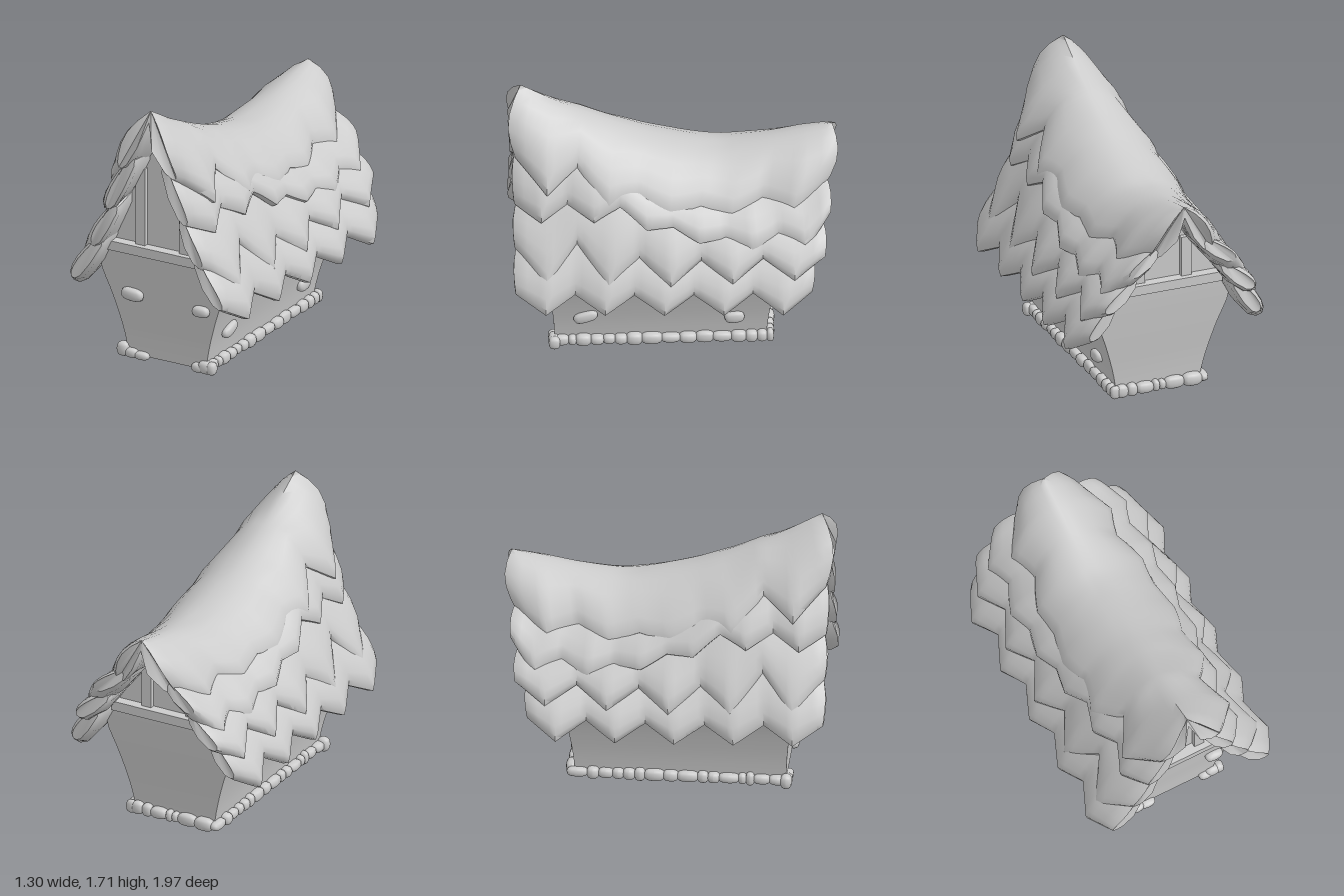
import * as THREE from 'three';
import { mergeGeometries, toCreasedNormals } from 'three/addons/utils/BufferGeometryUtils.js';

const material = new THREE.MeshStandardMaterial({ color: 0xcccccc });

let seed = 7;
const rand = () => (seed = (seed * 16807) % 2147483647) / 2147483647;

function add(parent, name, geometry, x = 0, y = 0, z = 0) {
  const mesh = new THREE.Mesh(geometry, material);
  mesh.name = name;
  mesh.position.set(x, y, z);
  parent.add(mesh);
  return mesh;
}

// Smooth value of column c at t, in rows sorted by descending first column
function sample(rows, t, c) {
  let i = 0;
  while (i < rows.length - 2 && t < rows[i + 1][0]) i++;
  const a = rows[i], b = rows[i + 1];
  const p = rows[Math.max(i - 1, 0)], q = rows[Math.min(i + 2, rows.length - 1)];
  const d = b[0] - a[0];
  const f = THREE.MathUtils.clamp((t - a[0]) / d, 0, 1), f2 = f * f, f3 = f2 * f;
  const m0 = (b[c] - p[c]) / (b[0] - p[0]) * d;
  const m1 = (q[c] - a[c]) / (q[0] - a[0]) * d;
  return (2 * f3 - 3 * f2 + 1) * a[c] + (f3 - 2 * f2 + f) * m0 + (3 * f2 - 2 * f3) * b[c] + (f3 - f2) * m1;
}

// Roof courses. top rows: [z, x, y]; low rows: [z, notch x, notch y, tip x, tip y]
const ridgeCourse = {
  name: 'ridgeCourse', teeth: 5, bow: 0.06, crown: 0.035,
  top: [[0.9, 0, 1.72], [0.63, 0, 1.57], [0.2, 0, 1.38], [-0.1, 0, 1.29], [-0.35, 0, 1.26], [-0.96, 0, 1.39]],
  low: [[0.94, 0.22, 1.34, 0.36, 1.2], [0.57, 0.27, 1.3, 0.39, 1.13], [0.2, 0.35, 1.13, 0.4, 1.07],
    [-0.18, 0.35, 1.06, 0.38, 1], [-0.9, 0.22, 1.07, 0.34, 0.98]],
};
const upperCourse = {
  name: 'upperCourse', teeth: 6, bow: 0.02, crown: 0,
  top: [[0.93, 0.13, 1.41], [0.5, 0.15, 1.38], [-0.1, 0.17, 1.15], [-0.9, 0.13, 1.16]],
  low: [[0.95, 0.3, 1.06, 0.39, 0.98], [0.3, 0.39, 1.08, 0.44, 0.99], [0, 0.43, 0.96, 0.47, 0.9],
    [-0.5, 0.44, 0.87, 0.49, 0.82], [-0.94, 0.36, 1, 0.47, 0.82]],
};
const middleCourse = {
  name: 'middleCourse', teeth: 5, bow: 0.02, crown: 0,
  top: [[0.93, 0.25, 1.08], [0.5, 0.28, 1.14], [0, 0.32, 1.01], [-0.88, 0.3, 0.94]],
  low: [[0.95, 0.4, 0.81, 0.56, 0.6], [0.58, 0.43, 0.85, 0.56, 0.58], [0.2, 0.47, 0.75, 0.58, 0.61], [-0.9, 0.5, 0.77, 0.58, 0.66]],
};
const eavesCourse = {
  name: 'eavesCourse', teeth: 5, bow: 0.02, crown: 0,
  top: [[0.93, 0.35, 0.85], [0.55, 0.37, 0.9], [0, 0.42, 0.78], [-0.82, 0.41, 0.79]],
  low: [[0.95, 0.54, 0.57, 0.62, 0.47], [0.1, 0.56, 0.55, 0.63, 0.45], [-0.82, 0.57, 0.56, 0.66, 0.45]],
};

// Thick shingle profile: [distance down the slope, offset outward]
const profile = [[0, 0], [0.08, 0.008], [0.2, 0.017], [0.4, 0.028], [0.6, 0.034], [0.8, 0.028], [0.93, 0.012], [1, -0.02],
  [0.97, -0.055], [0.85, -0.085], [0.5, -0.095], [0.1, -0.075], [0, -0.045]];

function slopeGeometry({ teeth, bow, crown, top, low }, side) {
  const n = profile.length, step = 5, rings = teeth * 2 * step + 1;
  const { lerp } = THREE.MathUtils;
  const pos = [], index = [];
  const tri = (a, b, c) => (side > 0 ? index.push(a, b, c) : index.push(a, c, b));
  for (let r = 0; r < rings; r++) {
    const u = r / (rings - 1);
    const tip = 1 - Math.abs((r / step) % 2 - 1);
    const z = lerp(low[0][0], low.at(-1)[0], u), tz = lerp(top[0][0], top.at(-1)[0], u);
    const bx = lerp(sample(low, z, 1), sample(low, z, 3), tip);
    const by = lerp(sample(low, z, 2), sample(low, z, 4), tip);
    const ax = sample(top, tz, 1), ay = sample(top, tz, 2);
    const len = Math.hypot(bx - ax, by - ay);
    const nx = (ay - by) / len, ny = (bx - ax) / len;
    const puff = (0.85 + 0.2 * tip) * (r === 0 || r === rings - 1 ? 0.7 : 1);
    for (const [v, o] of profile) {
      const swell = o < 0 ? 0 : crown * 6.75 * v * (1 - v) ** 2;
      const off = (o + 0.03) * puff - 0.03 * (o === 0 ? puff : 1) + swell;
      const bend = bow * Math.sin(Math.PI * v) * Math.pow(1 - 2 * u, 7);
      const x = Math.max(0, lerp(ax, bx, v) + nx * off);
      pos.push(side * x, lerp(ay, by, v) + ny * off, lerp(tz, z, v) + bend);
    }
  }
  for (let r = 0; r < rings - 1; r++) {
    for (let k = 0; k < n; k++) {
      const a = r * n + k, b = r * n + (k + 1) % n;
      tri(a, b, a + n);
      tri(b, b + n, a + n);
    }
  }
  const last = (rings - 1) * n;
  for (let k = 1; k < n - 1; k++) {
    tri(0, k + 1, k);
    tri(last, last + k, last + k + 1);
  }
  const g = new THREE.BufferGeometry();
  g.setAttribute('position', new THREE.Float32BufferAttribute(pos, 3));
  g.setIndex(index);
  return g;
}

// Flared walls: [height, half width, front z, back z]
const wall = [[0.74, 0.38, 0.765, -0.63], [0.62, 0.435, 0.755, -0.62], [0.4, 0.36, 0.735, -0.595],
  [0.2, 0.3, 0.715, -0.57], [0.03, 0.265, 0.705, -0.555]];

function wallGeometry() {
  const g = new THREE.BoxGeometry(2, 0.71, 2, 1, 12, 1);
  const p = g.attributes.position;
  for (let i = 0; i < p.count; i++) {
    const y = p.getY(i) + 0.385;
    p.setXYZ(i, p.getX(i) * sample(wall, y, 1), y, sample(wall, y, p.getZ(i) > 0 ? 2 : 3));
  }
  return toCreasedNormals(g, 0.5);
}

// Rounded pebble, made boxier than a sphere
function stone(parent, name, size, at) {
  const g = new THREE.SphereGeometry(1, 12, 8);
  const p = g.attributes.position;
  const box = (v) => Math.sign(v) * Math.pow(Math.abs(v), 0.75);
  for (let i = 0; i < p.count; i++) p.setXYZ(i, box(p.getX(i)), box(p.getY(i)), box(p.getZ(i)));
  g.scale(size[0] / 2, size[1] / 2, size[2] / 2);
  g.computeVertexNormals();
  return add(parent, name, g, ...at);
}

// Recessed gable panel with two posts and a cross beam
function gable(parent, name, z, out, outline, postTop) {
  const group = new THREE.Group();
  group.name = name;
  const half = outline.map(([x, y]) => new THREE.Vector2(x, y));
  const mirrored = outline.slice(0, -1).reverse().map(([x, y]) => new THREE.Vector2(-x, y));
  const g = new THREE.ExtrudeGeometry(new THREE.Shape([...half, ...mirrored]), { depth: 0.04, bevelEnabled: false });
  add(group, 'gablePanel', g, 0, 0, z - 0.02);
  for (const s of [-1, 1]) {
    add(group, 'gablePost', new THREE.BoxGeometry(0.065, postTop - 0.74, 0.04), s * 0.15, (postTop + 0.74) / 2, z + out * 0.03);
  }
  add(group, 'gableBeam', new THREE.BoxGeometry(0.74, 0.06, 0.1), 0, 0.745, z + out * 0.035);
  parent.add(group);
}

export function createModel() {
  const house = new THREE.Group();
  house.name = 'house';
  add(house, 'walls', wallGeometry());

  gable(house, 'frontGable', 0.72, 1, [[0.37, 0.72], [0.34, 0.8], [0.13, 1.33], [0, 1.56]], 1.27);
  gable(house, 'backGable', -0.59, -1, [[0.37, 0.72], [0.34, 0.8], [0.15, 1.04], [0, 1.22]], 1.03);

  const roof = new THREE.Group();
  roof.name = 'roof';
  for (const course of [ridgeCourse, upperCourse, middleCourse, eavesCourse]) {
    const slopes = [1, -1].map((s) => slopeGeometry(course, s));
    add(roof, course.name, toCreasedNormals(mergeGeometries(slopes), 0.85));
  }
  house.add(roof);

  // Foundation stones along both sides and the back, loose at the front corners
  const base = new THREE.Group();
  base.name = 'foundationStones';
  const row = (from, to, place) => {
    for (let t = from; t < to;) {
      const len = 0.04 + rand() * 0.085;
      place(t + len / 2, len * 1.12, 0.055 + rand() * 0.03, 0.06 + rand() * 0.025);
      t += len;
    }
  };
  for (const s of [1, -1]) {
    row(-0.6, 0.66, (z, l, h, d) => stone(base, 'foundationStone', [d, h, l], [s * 0.285, 0.055, z]));
  }
  row(-0.27, 0.22, (x, l, h, d) => stone(base, 'foundationStone', [l, h, d], [x, 0.055, -0.575]));
  const corners = [[-0.3, 0.08, 0.09], [-0.24, 0.09, 0.06], [-0.17, 0.1, 0.05], [0.22, 0.09, 0.06], [0.27, 0.1, 0.08], [0.31, 0.06, 0.08]];
  for (const [x, w, h] of corners) stone(base, 'cornerStone', [w, h, 0.07], [x, 0.01 + h / 2, 0.71]);
  house.add(base);

  // Stones showing through the walls
  stone(house, 'wallStone', [0.15, 0.078, 0.07], [-0.215, 0.435, 0.75]).rotation.z = -0.08;
  stone(house, 'wallStone', [0.115, 0.068, 0.07], [0.258, 0.422, 0.75]);
  stone(house, 'wallStone', [0.06, 0.07, 0.15], [0.325, 0.245, 0.525]).rotation.x = 0.3;
  stone(house, 'wallStone', [0.06, 0.075, 0.12], [0.315, 0.212, -0.365]).rotation.x = 0.1;
  return house;
}
